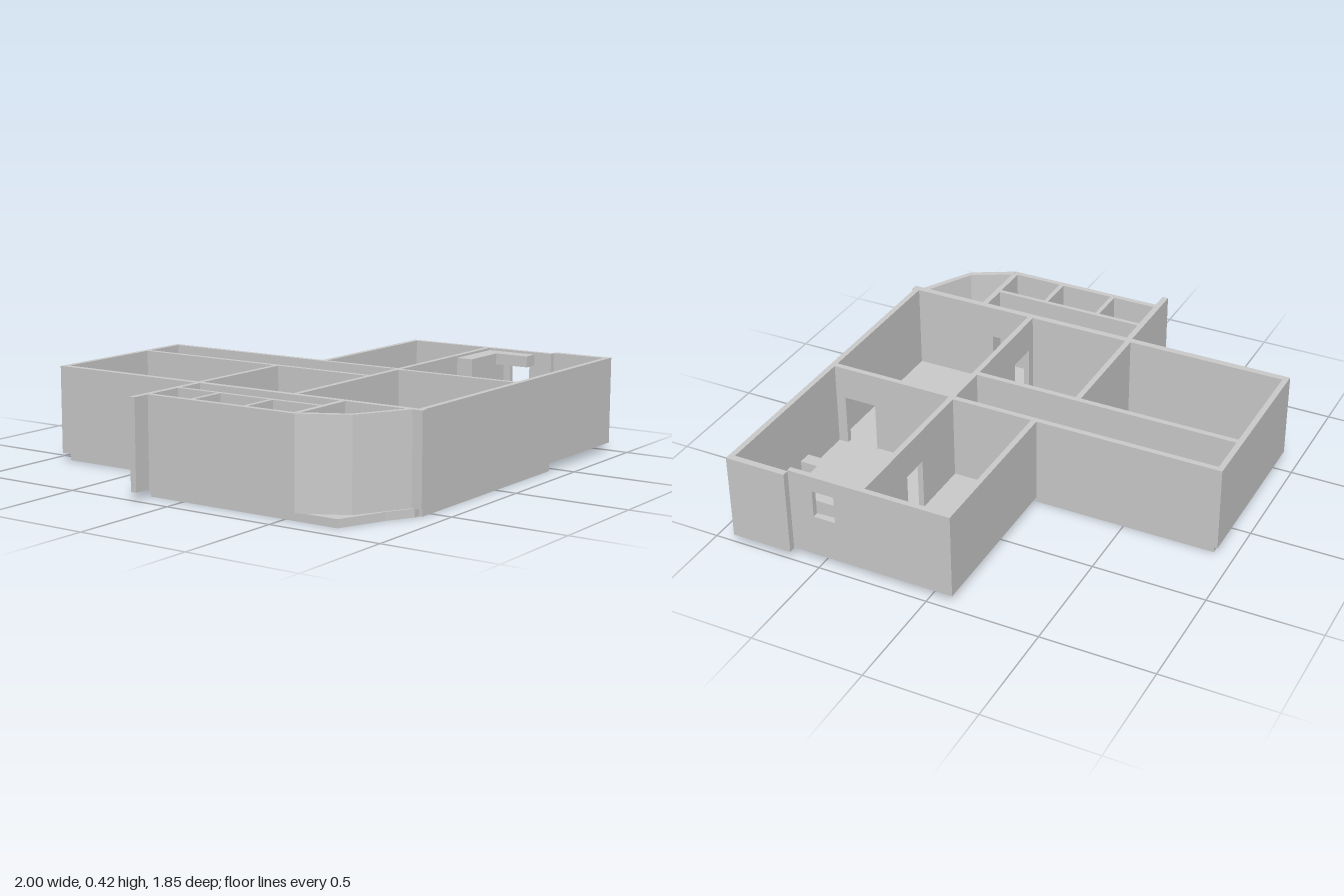
import * as THREE from 'three';

const Y0 = 0.035, Y1 = 0.42; // wall foot and wall top

export function createModel() {
  const house = new THREE.Group();
  house.name = 'floorPlanHouse';
  const material = new THREE.MeshStandardMaterial({ color: 0xcccccc, flatShading: true });

  const group = (name) => {
    const g = new THREE.Group();
    g.name = name;
    house.add(g);
    return g;
  };

  // Box given by its limits on each axis
  const block = (parent, name, x0, x1, z0, z1, y0, y1) => {
    const mesh = new THREE.Mesh(new THREE.BoxGeometry(x1 - x0, y1 - y0, z1 - z0), material);
    mesh.position.set((x0 + x1) / 2, (y0 + y1) / 2, (z0 + z1) / 2);
    mesh.name = name;
    parent.add(mesh);
  };

  // Upright prism over a plan outline of [x, z] points
  const prism = (parent, name, outline, y0, y1) => {
    const shape = new THREE.Shape(outline.map(([x, z]) => new THREE.Vector2(x, z)));
    const geo = new THREE.ExtrudeGeometry(shape, { depth: y1 - y0, bevelEnabled: false });
    geo.rotateX(Math.PI / 2).translate(0, y1, 0);
    const mesh = new THREE.Mesh(geo, material);
    mesh.name = name;
    parent.add(mesh);
  };

  // Straight wall along x or z, split around openings [start, end, sill, head]
  const wall = (parent, name, along, a0, a1, c0, c1, openings = []) => {
    const piece = (s, e, y0, y1) => {
      if (e - s < 1e-4 || y1 - y0 < 1e-4) return;
      if (along === 'x') block(parent, name, s, e, c0, c1, y0, y1);
      else block(parent, name, c0, c1, s, e, y0, y1);
    };
    let at = a0;
    for (const [s, e, sill, head] of openings) {
      piece(at, s, Y0, Y1);
      piece(s, e, Y0, sill);
      piece(s, e, head, Y1);
      at = e;
    }
    piece(at, a1, Y0, Y1);
  };
  const door = (s, e) => [s, e, Y0, 0.27];

  // Foundation slabs, with narrow slits between them
  const base = group('foundation');
  block(base, 'rearRoomSlab', -0.56, -0.04, -0.91, -0.165, 0, Y0);
  block(base, 'hallSlab', -0.015, 0.19, -0.91, -0.165, 0, Y0);
  block(base, 'middleSlab', -0.56, 0.19, -0.165, 0.295, 0, Y0);
  block(base, 'slabBridge', -0.56, -0.01, 0.295, 0.32, 0, Y0);
  block(base, 'frontSlab', -0.56, 0.45, 0.32, 0.905, 0, Y0);
  block(base, 'annexBridge', -0.59, -0.56, 0.335, 0.89, 0, Y0);
  prism(base, 'annexSlab',
    [[-0.59, -0.165], [-0.59, 0.885], [-0.7, 0.825], [-0.9, 0.745], [-0.9, -0.165]], 0, Y0);
  block(base, 'sideRoomFloor', 0.19, 0.945, -0.08, 0.32, 0.028, 0.037);
  block(base, 'kitchenFloor', 0.45, 0.945, 0.32, 0.89, 0.028, 0.037);
  prism(base, 'kitchenFloorStep',
    [[0.3, 0.32], [0.3, 0.475], [0.435, 0.475], [0.435, 0.885], [0.94, 0.885], [0.94, 0.32]], Y0, 0.042);

  // Outer walls of the main house
  const outer = group('outerWalls');
  wall(outer, 'rearWall', 'x', -0.59, 0.205, -0.93, -0.905);
  wall(outer, 'leftWall', 'z', -0.905, 0.92, -0.59, -0.56, [door(0.34, 0.5)]);
  wall(outer, 'hallSideWall', 'z', -0.905, 0.295, 0.18, 0.205);
  wall(outer, 'sideRoomRearWall', 'x', 0.205, 0.965, -0.1, -0.075);
  wall(outer, 'sideWall', 'z', -0.075, 0.64, 0.94, 0.965, [[0.43, 0.53, 0.225, 0.35]]);
  wall(outer, 'offsetSideWall', 'z', 0.635, 0.885, 0.97, 1.0);
  wall(outer, 'frontWall', 'x', -0.56, 1.0, 0.885, 0.91);

  // Partitions between the rooms
  const inner = group('partitionWalls');
  wall(inner, 'hallPartition', 'z', -0.905, 0.295, -0.04, -0.015);
  wall(inner, 'bedroomPartition', 'x', -0.56, -0.04, -0.19, -0.165);
  wall(inner, 'crossWall', 'x', -0.56, 0.94, 0.295, 0.32,
    [door(-0.52, -0.38), door(0.03, 0.15), door(0.48, 0.61)]);
  wall(inner, 'kitchenPartition', 'z', 0.32, 0.885, 0.17, 0.195, [door(0.69, 0.84)]);

  // Low wing with small rooms and a chamfered corner
  const annex = group('annexWalls');
  wall(annex, 'annexRearWall', 'x', -1.0, -0.59, -0.185, -0.158);
  wall(annex, 'annexOuterWall', 'z', -0.158, 0.56, -0.92, -0.895);
  wall(annex, 'annexPartition', 'z', -0.158, 0.54, -0.73, -0.71, [door(0.1, 0.18)]);
  for (const z of [0.04, 0.3]) wall(annex, 'annexCrossWall', 'x', -0.895, -0.73, z, z + 0.02);
  wall(annex, 'annexFrontPartition', 'x', -0.895, -0.59, 0.54, 0.565);
  prism(annex, 'chamferedCornerWall', [
    [-0.92, 0.56], [-0.885, 0.565], [-0.795, 0.735], [-0.59, 0.845],
    [-0.59, 0.875], [-0.815, 0.752],
  ], Y0, Y1);

  // Kitchen: worktop, wall cupboards, island and seating
  const kitchen = group('kitchen');
  prism(kitchen, 'worktop', [
    [0.655, 0.32], [0.655, 0.395], [0.715, 0.395], [0.74, 0.425], [0.855, 0.425],
    [0.865, 0.63], [0.9, 0.64], [0.94, 0.64], [0.94, 0.32],
  ], Y0, 0.16);
  block(kitchen, 'rearCupboard', 0.655, 0.94, 0.32, 0.397, 0.27, 0.41);
  block(kitchen, 'sideCupboard', 0.87, 0.94, 0.397, 0.555, 0.36, 0.41);
  block(kitchen, 'island', 0.645, 0.765, 0.475, 0.665, Y0, 0.14);
  block(kitchen, 'stool', 0.66, 0.75, 0.705, 0.75, Y0, 0.09);
  block(kitchen, 'sofa', 0.61, 0.8, 0.785, 0.885, Y0, 0.11);
  block(kitchen, 'longCounter', 0.45, 0.51, 0.495, 0.885, Y0, 0.11);

  // Built-in units of the side room
  const sideRoom = group('sideRoomUnits');
  block(sideRoom, 'rearUnit', 0.635, 0.94, -0.075, 0.05, Y0, 0.15);
  block(sideRoom, 'sideUnit', 0.875, 0.94, -0.07, 0.295, Y0, 0.17);

  return house;
}
